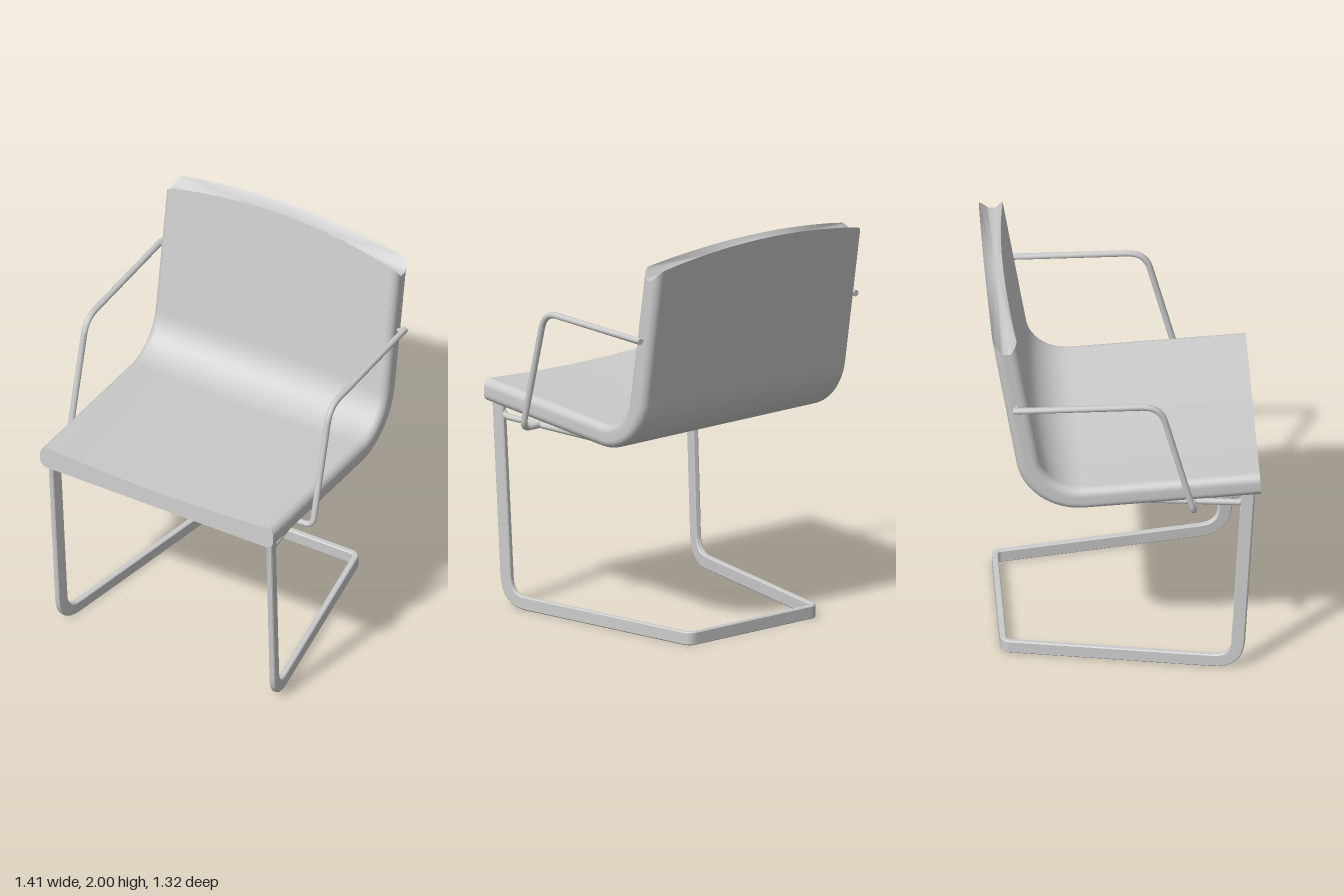
import * as THREE from 'three';

const V = (x, y, z) => new THREE.Vector3(x, y, z);
const smooth = new THREE.MeshStandardMaterial({ color: 0xcccccc });
const faceted = new THREE.MeshStandardMaterial({ color: 0xcccccc, flatShading: true });

// Skin a list of closed rings and cap both ends with sharp edges.
function loft(rings) {
  const n = rings[0].length, pos = [], idx = [];
  rings.forEach(r => r.forEach(p => pos.push(p.x, p.y, p.z)));
  for (let i = 0; i < rings.length - 1; i++) {
    for (let j = 0; j < n; j++) {
      const a = i * n + j, b = i * n + (j + 1) % n;
      idx.push(a, b, a + n, b, b + n, a + n);
    }
  }
  [[rings[0], true], [rings[rings.length - 1], false]].forEach(([ring, flip]) => {
    const base = pos.length / 3, mid = V(0, 0, 0);
    ring.forEach(p => { mid.add(p); pos.push(p.x, p.y, p.z); });
    mid.divideScalar(n);
    pos.push(mid.x, mid.y, mid.z);
    for (let j = 0; j < n; j++) {
      const a = base + j, b = base + (j + 1) % n;
      idx.push(base + n, flip ? b : a, flip ? a : b);
    }
  });
  const g = new THREE.BufferGeometry();
  g.setAttribute('position', new THREE.Float32BufferAttribute(pos, 3));
  g.setIndex(idx);
  g.computeVertexNormals();
  return g;
}

// Polyline whose inner corners are rounded; cuts[i] is the length trimmed at corner i + 1.
function roundedPath(points, cuts, steps = 8) {
  const out = [points[0]];
  for (let i = 1; i < points.length - 1; i++) {
    const p = points[i], c = cuts[i - 1];
    const a = points[i - 1].clone().sub(p).setLength(c).add(p);
    const b = points[i + 1].clone().sub(p).setLength(c).add(p);
    out.push(...new THREE.QuadraticBezierCurve3(a, p, b).getPoints(steps));
  }
  out.push(points[points.length - 1]);
  return out;
}

// Carry a profile along a path without twisting; the profile's second axis starts in the path's plane.
function sweep(path, profile) {
  let side = null;
  return loft(path.map((p, i) => {
    const before = path[Math.max(i - 1, 0)], after = path[Math.min(i + 1, path.length - 1)];
    const t = i > 0 && i < path.length - 1
      ? p.clone().sub(before).normalize().add(after.clone().sub(p).normalize()).normalize()
      : after.clone().sub(before).normalize();
    side = side ? side.addScaledVector(t, -side.dot(t)).normalize() : V(0, 1, 0).cross(t).normalize();
    const up = t.clone().cross(side);
    return profile.map(([a, b]) => p.clone().addScaledVector(side, a).addScaledVector(up, b));
  }));
}

const circle = r => Array.from({ length: 10 }, (_, i) =>
  [r * Math.cos(i * Math.PI / 5), r * Math.sin(i * Math.PI / 5)]);

// Padded shell cross-section: rounded edges, slightly hollow sitting face.
function shellProfile() {
  const half = 0.66, r = 0.04, inner = half - r, edge = 0.115, n = 16, pts = [];
  const corner = (cx, cy, start) => {
    for (let k = 0; k <= 6; k++) {
      const a = start + k * Math.PI / 12;
      pts.push([cx + r * Math.cos(a), cy + r * Math.sin(a)]);
    }
  };
  for (let i = 1; i < n; i++) pts.push([-inner + 2 * inner * i / n, 0]);
  corner(inner, r, -Math.PI / 2);
  corner(inner, edge - r, 0);
  for (let i = 1; i < n; i++) {
    const u = 1 - 2 * i / n;
    pts.push([inner * u, 0.09 + (edge - 0.09) * u * u]);
  }
  corner(-inner, edge - r, Math.PI / 2);
  corner(-inner, r, Math.PI);
  return pts;
}

// Seat and backrest in one piece, following the underside: seat line, round bend, back line.
function shellGeometry() {
  const front = V(0, 1.02, 0.66), bend = V(0, 0.954, -0.487), top = V(0, 2, -0.66);
  const d1 = bend.clone().sub(front).normalize(), d2 = top.clone().sub(bend).normalize();
  const turn = d1.angleTo(d2), radius = 0.319, cut = radius * Math.tan(turn / 2);
  const axis = V(1, 0, 0);
  const normalOf = t => V(-1, 0, 0).cross(t).multiplyScalar(-1);
  const stations = [[front, d1]];
  const start = bend.clone().addScaledVector(d1, -cut);
  const centre = start.clone().addScaledVector(normalOf(d1), radius);
  for (let k = 0; k <= 16; k++) {
    const t = d1.clone().applyAxisAngle(axis, turn * k / 16);
    stations.push([centre.clone().addScaledVector(normalOf(t), -radius), t]);
  }
  stations.push([top, d2]);
  const profile = shellProfile();
  // Arched top edge with rounded outer corners
  const topY = x => {
    const c = Math.min(Math.max(Math.abs(x) - 0.61, 0) / 0.05, 1);
    return 2 - 0.058 * (x / 0.64) ** 2 - 0.05 * (1 - Math.sqrt(1 - c * c));
  };
  return loft(stations.map(([p, t], i) => profile.map(([u, v]) => {
    const q = p.clone().addScaledVector(normalOf(t), v);
    q.x = -u;
    if (i === stations.length - 1) q.addScaledVector(t, (topY(q.x) - q.y) / t.y);
    return q;
  })));
}

export function createModel() {
  const model = new THREE.Group();
  const add = (name, geometry, material = smooth) => {
    const mesh = new THREE.Mesh(geometry, material);
    mesh.name = name;
    model.add(mesh);
    return mesh;
  };

  add('seatAndBackrest', shellGeometry());

  // Cantilever base: one flat bar down the legs, back along the floor and across the rear
  const w = 0.015, h = 0.033, c = 0.005;
  const bar = [[w, c - h], [w, h - c], [w - c, h], [c - w, h], [-w, h - c], [-w, c - h], [c - w, -h], [w - c, -h]];
  const halfBase = [V(0.613, 1.025, 0.598), V(0.602, 0.033, 0.543), V(0.4, 0.033, -0.585)];
  const mirrored = halfBase.map(p => V(-p.x, p.y, p.z)).reverse();
  add('cantileverBase',
    sweep(roundedPath([...halfBase, ...mirrored], [0.12, 0.035, 0.035, 0.12]), bar), faceted);

  // Round tube frame under the seat, joined to the leg tops
  const frame = [V(0.608, 1.0, 0.59), V(0.605, 0.957, 0.56), V(0.53, 0.957, -0.13),
    V(-0.53, 0.957, -0.13), V(-0.605, 0.957, 0.56), V(-0.608, 1.0, 0.59)];
  add('underSeatFrame', sweep(roundedPath(frame, [0.02, 0.03, 0.03, 0.02]), circle(0.016)));

  for (const s of [1, -1]) {
    const label = s > 0 ? 'left' : 'right';
    // Armrest: out from the frame, up, and back to the backrest
    const arm = [V(s * 0.57, 0.957, 0.33), V(s * 0.69, 0.957, 0.33),
      V(s * 0.69, 1.58, 0.165), V(s * 0.69, 1.58, -0.555)];
    add(label + 'Armrest', sweep(roundedPath(arm, [0.045, 0.09]), circle(0.016)));
    // Pin fixing the armrest to the backrest
    const pin = add(label + 'ArmrestPin', new THREE.CylinderGeometry(0.01, 0.01, 0.05, 10));
    pin.rotation.z = Math.PI / 2;
    pin.position.set(s * 0.665, 1.58, -0.535);
  }
  return model;
}
